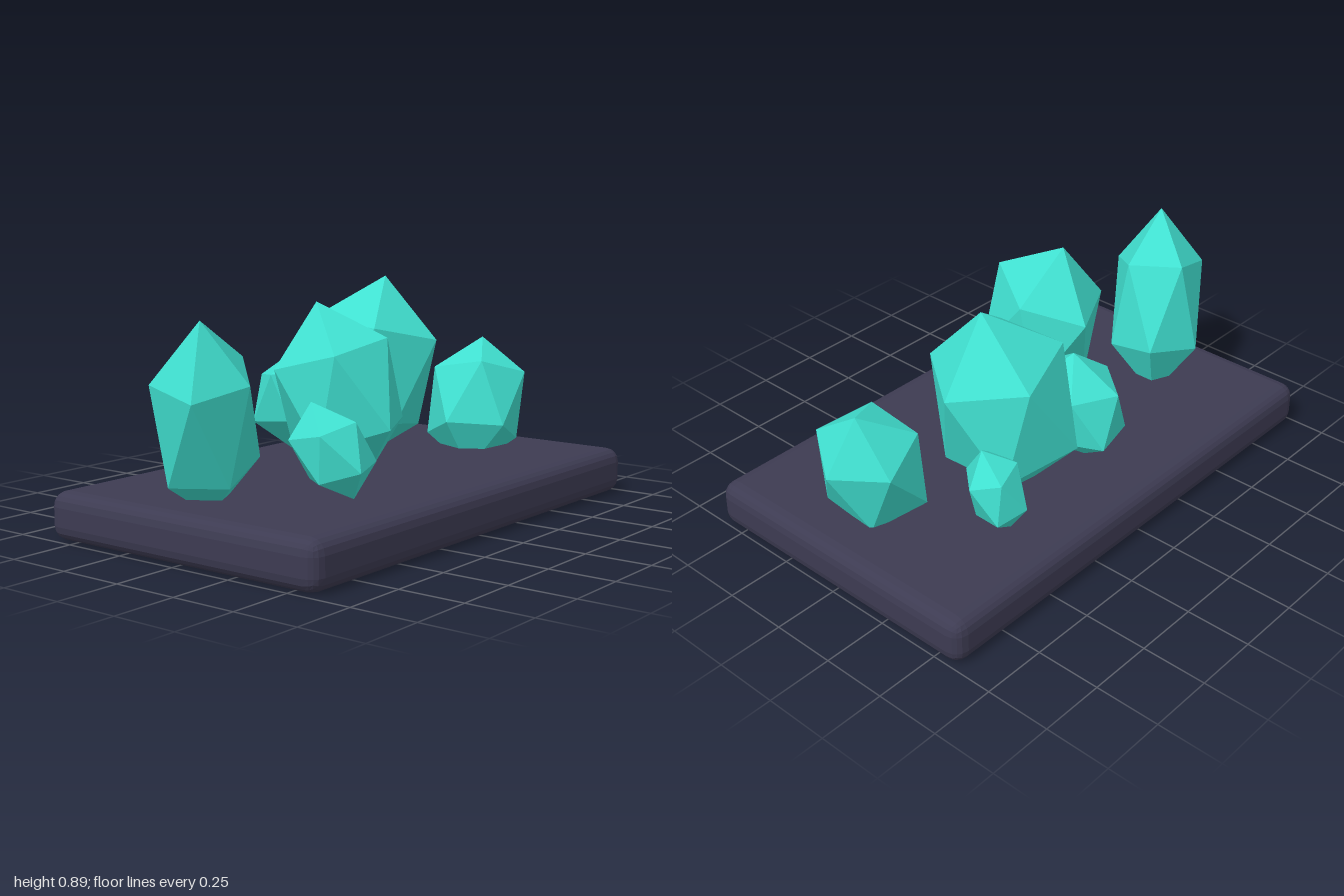
import * as THREE from 'three';
import { RoundedBoxGeometry } from 'three/addons/geometries/RoundedBoxGeometry.js';

const crystalMat = new THREE.MeshStandardMaterial({ color: 0x40e0d0, flatShading: true });
crystalMat.name = 'turquoise crystal';
const stoneMat = new THREE.MeshStandardMaterial({ color: 0x3d3b52, flatShading: true });
stoneMat.name = 'dark slate';

// Matrix whose columns are three vectors
const columns = (p, q, r) => new THREE.Matrix4().makeBasis(p, q, r);

// Stretched, tilted icosahedron set by its centre and the three corners of one
// of its faces (the first corner is the apex), measured from the centre
function crystal(name, center, corners) {
  const geo = new THREE.IcosahedronGeometry(1, 0);
  const pos = geo.getAttribute('position');
  const base = [0, 1, 2].map((i) => new THREE.Vector3().fromBufferAttribute(pos, i));
  const [p, q, r] = corners.map((c) => new THREE.Vector3(...c));
  let target = columns(p, q, r);
  const source = columns(...base);
  // keep the handedness so that faces point outward
  if (target.determinant() * source.determinant() < 0) target = columns(p, r, q);
  geo.applyMatrix4(target.multiply(source.invert()));
  geo.computeVertexNormals();
  const mesh = new THREE.Mesh(geo, crystalMat);
  mesh.name = name;
  mesh.position.set(...center);
  return mesh;
}

const CRYSTALS = [
  ['farLeftCrystal', [-0.762, 0.454, -0.06],
    [[-0.103, 0.361, 0.076], [0, 0.14, 0.205], [0.148, 0.214, 0.04]]],
  ['middleCrystal', [-0.27, 0.51, 0.135],
    [[-0.034, 0.33, -0.077], [0.05, 0.21, 0.177], [0.217, 0.168, -0.08]]],
  ['smallFrontCrystal', [-0.505, 0.355, 0.29],
    [[-0.037, 0.168, -0.064], [0.025, 0.06, -0.143], [-0.108, 0.04, -0.108]]],
  ['smallBackCrystal', [0, 0.428, -0.285],
    [[0, 0.208, 0.03], [-0.04, 0.08, -0.15], [-0.148, 0.1, -0.01]]],
  ['largeCrystal', [0.262, 0.51, -0.147],
    [[0.064, 0.378, 0.045], [0.283, 0.12, 0.018], [0.098, 0.135, 0.269]]],
  ['smallRightCrystal', [0.499, 0.335, -0.328],
    [[0.024, 0.155, 0.046], [0.119, 0.049, 0.017], [0.08, 0.098, -0.098]]],
  ['rightCrystal', [0.709, 0.351, 0.08],
    [[0.09, 0.263, -0.028], [0.214, 0.055, 0], [0.1, 0.13, 0.172]]],
];

export function createModel() {
  const model = new THREE.Group();
  model.name = 'crystalCluster';

  // Rounded stone slab
  const slab = new THREE.Mesh(new RoundedBoxGeometry(2, 0.18, 1.22, 2, 0.055), stoneMat);
  slab.name = 'baseSlab';
  slab.position.y = 0.09;
  model.add(slab);

  // Crystals
  for (const spec of CRYSTALS) model.add(crystal(...spec));
  return model;
}
